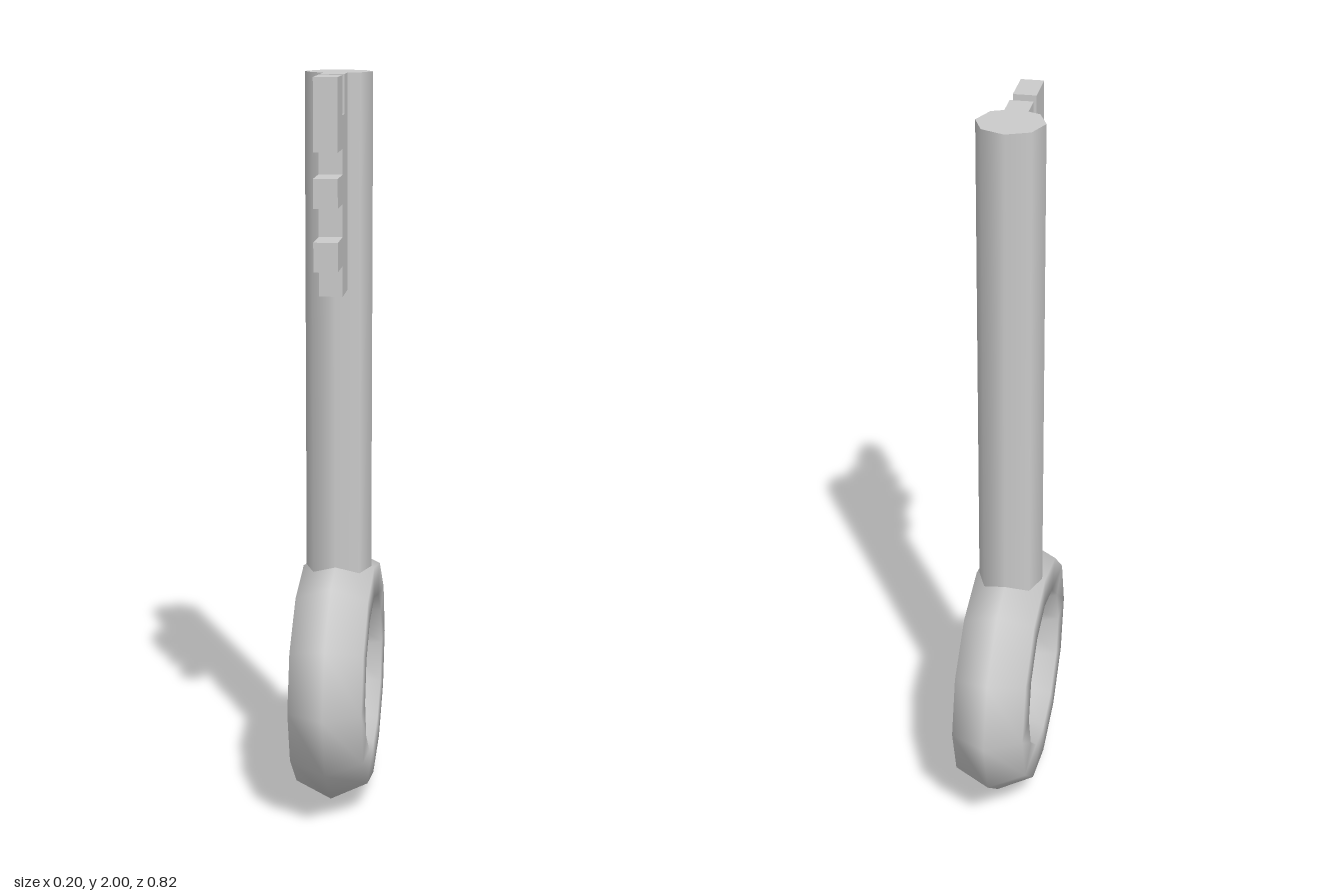
import * as THREE from 'three';

export function createModel() {
  const model = new THREE.Group();
  const material = new THREE.MeshStandardMaterial({ color: 0xcccccc });
  const add = (name, geometry) => {
    const mesh = new THREE.Mesh(geometry, material);
    mesh.name = name;
    model.add(mesh);
  };

  // Ring handle: six-sided tube, slightly flattened in height
  const ring = new THREE.TorusGeometry(0.304, 0.104, 6, 12);
  ring.scale(1, 0.85, 1.09).rotateY(Math.PI / 2).translate(0, 0.347, 0);
  add('ringHandle', ring);

  // Eight-sided shaft, its foot buried in the ring
  const shaft = new THREE.CylinderGeometry(0.09, 0.09, 1.4, 8);
  shaft.translate(0, 1.3, 0);
  add('shaft', shaft);

  // Toothed bit, outlined as (z, y)
  const inner = 0.07, web = 0.195, tip = 0.31;
  const outline = [[inner, 1.435], [web, 1.435]];
  for (const [low, high] of [[1.515, 1.59], [1.675, 1.75], [1.815, 2]]) {
    outline.push([web, low], [tip, low], [tip, high], [web, high]);
  }
  // Slot in the top edge
  outline.push([web, 1.9], [0.15, 1.9], [0.15, 2], [inner, 2]);
  const shape = new THREE.Shape(outline.map(([z, y]) => new THREE.Vector2(z, y)));
  const bit = new THREE.ExtrudeGeometry(shape, { depth: 0.062, bevelEnabled: false });
  bit.translate(0, 0, -0.031).rotateY(-Math.PI / 2);
  add('toothedBit', bit);

  return model;
}
